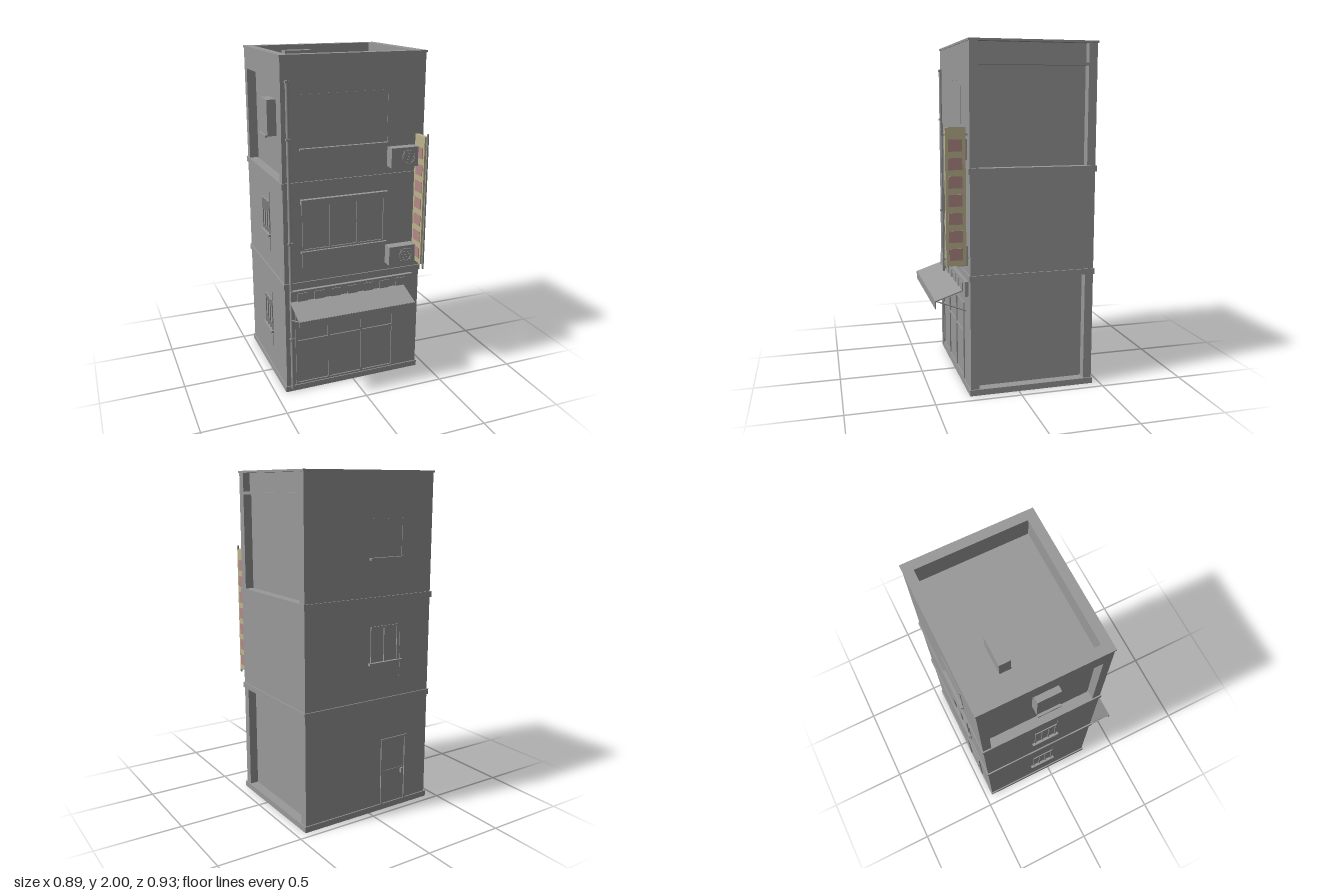
import * as THREE from 'three';

const material = (name, color) => {
  const m = new THREE.MeshStandardMaterial({ color, side: THREE.DoubleSide });
  m.name = name;
  return m;
};

export function createModel() {
  const concrete = material('concrete', 0x999999);
  const cream = material('signCream', 0xbdb48e);
  const pink = material('signPink', 0xb38a86);
  const root = new THREE.Group();
  root.name = 'shopBuilding';

  const add = (name, geometry, mat = concrete) => {
    const mesh = new THREE.Mesh(geometry, mat);
    mesh.name = name;
    root.add(mesh);
    return mesh;
  };
  // Box given by its limits on each axis
  const box = (name, x0, x1, y0, y1, z0, z1, mat) => {
    const mesh = add(name, new THREE.BoxGeometry(x1 - x0, y1 - y0, z1 - z0), mat);
    mesh.position.set((x0 + x1) / 2, (y0 + y1) / 2, (z0 + z1) / 2);
    return mesh;
  };
  // Rectangular ring seen from above
  const ring = (name, x0, x1, y0, y1, z0, z1, t) => {
    box(name, x0, x1, y0, y1, z1 - t, z1);
    box(name, x0, x1, y0, y1, z0, z0 + t);
    box(name, x0, x0 + t, y0, y1, z0 + t, z1 - t);
    box(name, x1 - t, x1, y0, y1, z0 + t, z1 - t);
  };

  // Core and the wall slabs around it; gaps between slabs form the side recesses
  const L = -0.43, R = 0.436, F = 0.284, B = -0.45;
  const iL = -0.375, iR = 0.385, iF = 0.235, iB = -0.4;
  box('core', iL, iR, 0.03, 1.87, iB, iF);
  box('frontWall', L, R, 0.03, 1.99, iF, F);
  box('backWall', L, R, 0.03, 1.99, B, iB);
  box('rightMiddleWall', iR, R, 0.7, 1.28, iB, iF);
  box('rightParapetBeam', iR, R, 1.865, 1.88, iB, iF);
  box('rightParapetPanel', iR, iR + 0.008, 1.88, 1.99, iB, iF);
  box('leftLowerWall', L, iL, 0.03, 1.28, iB, iF);
  box('leftParapet', L, iL, 1.865, 1.99, iB, iF);
  ring('parapetCap', -0.435, 0.441, 1.988, 2, -0.455, 0.289, 0.056);

  // Plinth and floor bands
  for (const [y0, y1] of [[0, 0.035], [0.672, 0.705], [1.272, 1.306]])
    ring(y0 ? 'floorBand' : 'plinth', -0.438, 0.443, y0, y1, -0.457, 0.291, 0.058);

  // Shop window grid
  const frameZ = F + 0.007;
  for (const x of [-0.365, -0.16, 0.055, 0.265])
    box('shopWindowPost', x - 0.006, x + 0.006, 0.04, 0.505, F, frameZ);
  for (const y of [0.045, 0.325, 0.5])
    box('shopWindowRail', -0.371, 0.271, y - 0.006, y + 0.006, F, frameZ);

  // First floor window, header and sill
  for (const x of [-0.315, -0.148, 0.02, 0.19])
    box('frontWindowPost', x - 0.005, x + 0.005, 0.895, 1.175, F, frameZ);
  for (const y of [0.9, 1.165])
    box('frontWindowRail', -0.32, 0.195, y - 0.005, y + 0.005, F, frameZ);
  box('frontWindowHeader', -0.33, 0.206, 1.175, 1.205, F, 0.309);
  box('frontWindowSill', -0.33, 0.206, 0.884, 0.895, F, 0.304);
  box('frontDripLine', -0.322, -0.317, 0.76, 0.885, F, 0.288);

  // Top floor blank window outline
  box('upperSill', -0.33, 0.206, 1.484, 1.495, F, 0.304);
  box('upperOutlineTop', -0.33, 0.206, 1.788, 1.791, F, 0.286);
  box('upperOutlineSide', 0.203, 0.206, 1.495, 1.79, F, 0.286);

  // Shop fascia with a row of plain panels
  box('fascia', -0.4, 0.386, 0.574, 0.66, F, 0.305);
  for (let i = 0; i < 7; i++) {
    const x = -0.33 + i * 0.105;
    box('fasciaPanel', x - 0.03, x + 0.03, 0.59, 0.645, 0.305, 0.31);
  }

  // Awning: sloped sheet, valance and struts
  const slope = box('awningSheet', -0.405, 0.325, 0.567, 0.573, 0.283, 0.467);
  slope.rotation.x = Math.atan2(0.06, 0.18);
  box('awningValance', -0.405, 0.325, 0.496, 0.543, 0.461, 0.466);
  for (const x of [-0.395, 0.315]) {
    const path = new THREE.LineCurve3(
      new THREE.Vector3(x, 0.47, F), new THREE.Vector3(x, 0.54, 0.46));
    add('awningStrut', new THREE.TubeGeometry(path, 1, 0.004, 6));
  }

  // Air conditioners: case, fan ring and grille bars
  const airConditioner = (x0, y0, z0, w, h, d) => {
    const z = z0 + d;
    box('airConditioner', x0, x0 + w, y0, y0 + h, z0, z);
    const fan = add('airConditionerFan', new THREE.TorusGeometry(h * 0.34, 0.003, 6, 24));
    fan.position.set(x0 + w * 0.64, y0 + h / 2, z);
    for (let i = 0; i < 5; i++) {
      const y = y0 + h * (0.2 + i * 0.15);
      box('airConditionerGrille', x0 + w * 0.42, x0 + w * 0.86, y - 0.002, y + 0.002, z, z + 0.003);
    }
  };
  airConditioner(0.205, 0.75, F, 0.17, 0.115, 0.061);
  airConditioner(0.205, 1.35, F, 0.17, 0.115, 0.061);
  airConditioner(-0.252, 1.87, -0.245, 0.167, 0.112, 0.065);

  // Projecting vertical sign with coloured squares on both sides
  box('signBoard', 0.377, 0.401, 0.76, 1.53, 0.298, 0.412, cream);
  for (let i = 0; i < 7; i++) {
    const y = 0.825 + i * 0.101;
    for (const x of [0.374, 0.401])
      box('signSquare', x, x + 0.003, y - 0.033, y + 0.033, 0.318, 0.396, pink);
  }
  box('signPole', 0.384, 0.393, 0.735, 1.55, 0.42, 0.43);
  for (const y of [0.8, 1.49]) {
    box('signBracket', 0.385, 0.392, y - 0.005, y + 0.005, F, 0.3);
    box('signBracket', 0.385, 0.392, y - 0.005, y + 0.005, 0.41, 0.42);
  }

  // Drain pipe
  const pipe = add('drainPipe', new THREE.CylinderGeometry(0.01, 0.01, 1.85, 12));
  pipe.position.set(-0.395, 0.945, 0.29);
  for (const y of [0.35, 0.95, 1.55, 1.86])
    box('pipeClip', -0.408, -0.382, y - 0.006, y + 0.006, F, 0.302);

  // Back windows and sills
  for (const y of [0.92, 1.52])
    box('backSill', -0.22, 0.015, y - 0.007, y + 0.007, -0.468, B);
  for (const x of [-0.19, -0.097, -0.004])
    box('backWindowPost', x - 0.005, x + 0.005, 0.927, 1.135, B - 0.006, B);
  box('backWindowRail', -0.195, 0.001, 1.127, 1.137, B - 0.006, B);
  box('backDripLine', -0.214, -0.21, 0.82, 1.1, B - 0.003, B);
  box('backUpperOutline', -0.214, -0.21, 1.527, 1.74, B - 0.003, B);
  box('backUpperOutline', -0.214, 0.01, 1.737, 1.74, B - 0.003, B);

  // Back door with frame and handle
  box('doorPost', -0.098, -0.086, 0.03, 0.445, B - 0.007, B);
  box('doorPost', -0.274, -0.262, 0.03, 0.445, B - 0.007, B);
  box('doorLintel', -0.274, -0.086, 0.433, 0.447, B - 0.007, B);
  box('doorRail', -0.262, -0.098, 0.24, 0.244, B - 0.003, B);
  box('doorHandle', -0.25, -0.235, 0.205, 0.235, B - 0.012, B);

  // Left side windows, the top one standing in the recess
  for (const y of [0.28, 0.92]) {
    box('sideSill', -0.447, L, y - 0.007, y + 0.007, -0.14, 0.032);
    for (const z of [-0.12, -0.076, -0.032, 0.012])
      box('sideWindowPost', L - 0.006, L, y + 0.007, y + 0.21, z - 0.004, z + 0.004);
    box('sideWindowRail', L - 0.006, L, y + 0.203, y + 0.212, -0.124, 0.016);
    box('sideDripLine', L - 0.003, L, y - 0.1, y + 0.27, 0.018, 0.021);
  }
  box('recessWindow', L, iL, 1.52, 1.73, -0.124, 0.016);
  box('recessWindowSill', -0.445, L, 1.514, 1.526, -0.124, 0.016);
  return root;
}
